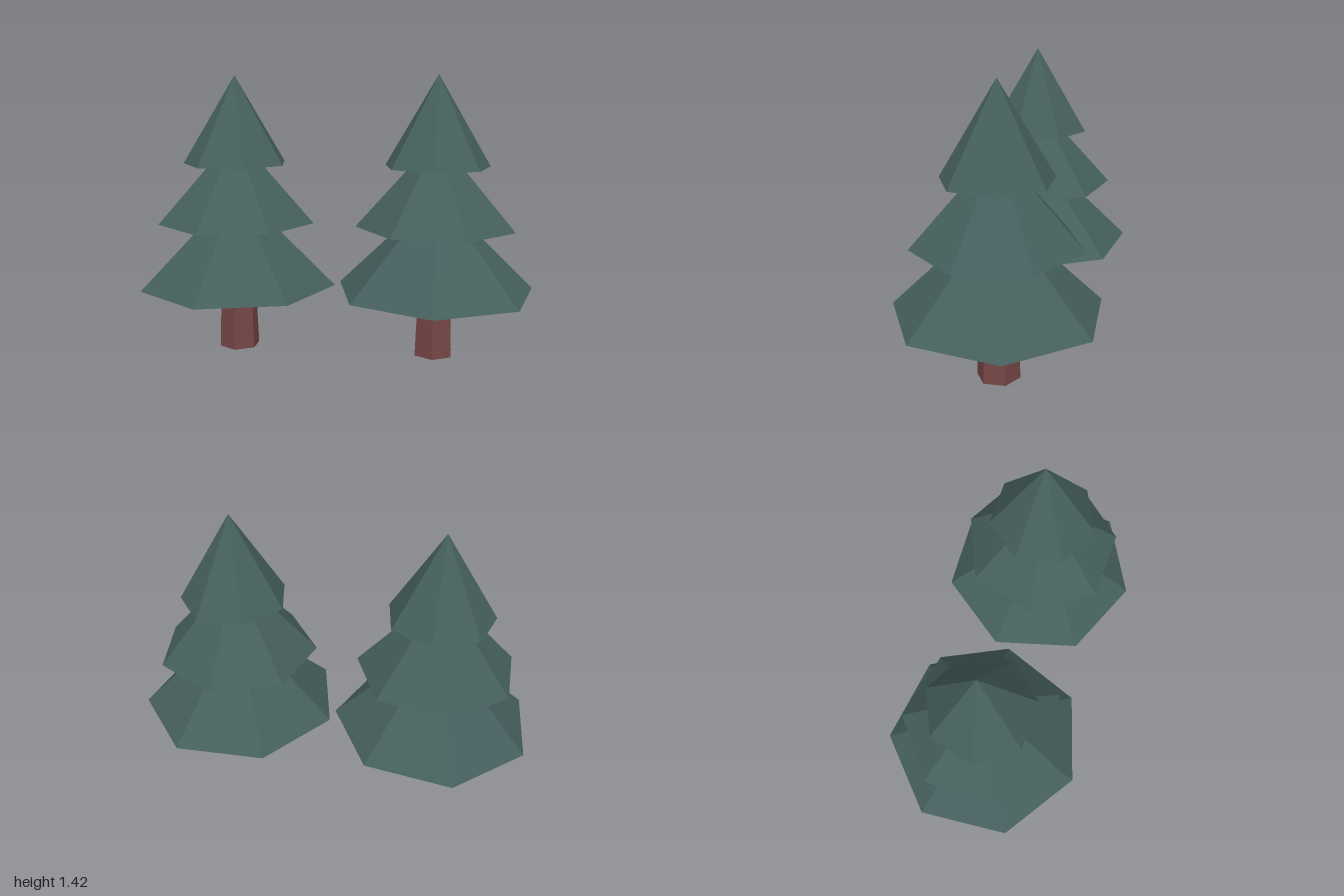
import * as THREE from 'three';

const foliage = new THREE.MeshStandardMaterial({ color: 0x455f5d, flatShading: true });
foliage.name = 'spruce green';
const bark = new THREE.MeshStandardMaterial({ color: 0x754646, flatShading: true });
bark.name = 'bark brown';

// A tapered prism standing on height y0, its first corner turned by deg from +z
function tapered(name, material, sides, rTop, rBase, y0, y1, deg) {
  const geometry = new THREE.CylinderGeometry(
    rTop, rBase, y1 - y0, sides, 1, false, THREE.MathUtils.degToRad(deg));
  geometry.translate(0, (y0 + y1) / 2, 0);
  const mesh = new THREE.Mesh(geometry, material);
  mesh.name = name;
  return mesh;
}

// Hexagonal trunk under three seven-sided cones, each turned by its own angle
function createTree(name, x, z, top, turns) {
  const tree = new THREE.Group();
  tree.name = name;
  tree.position.set(x, 0, z);
  tree.add(tapered('trunk', bark, 6, 0.092, 0.106, 0, 0.345, 4));
  const tiers = [
    ['lowerBranches', 0.511, 0.336, 0.84],
    ['middleBranches', 0.405, 0.669, 1.12],
    ['upperBranches', 0.27, 0.971, top],
  ];
  tiers.forEach(([part, radius, y0, y1], i) =>
    tree.add(tapered(part, foliage, 7, 0, radius, y0, y1, turns[i])));
  return tree;
}

export function createModel() {
  const model = new THREE.Group();
  model.name = 'twoSpruces';
  model.add(
    createTree('rightTree', -0.514, 0.021, 1.417, [-5.5, -10, 26.5]),
    createTree('leftTree', 0.51, -0.056, 1.425, [5.2, 26, 2.8]));
  return model;
}
